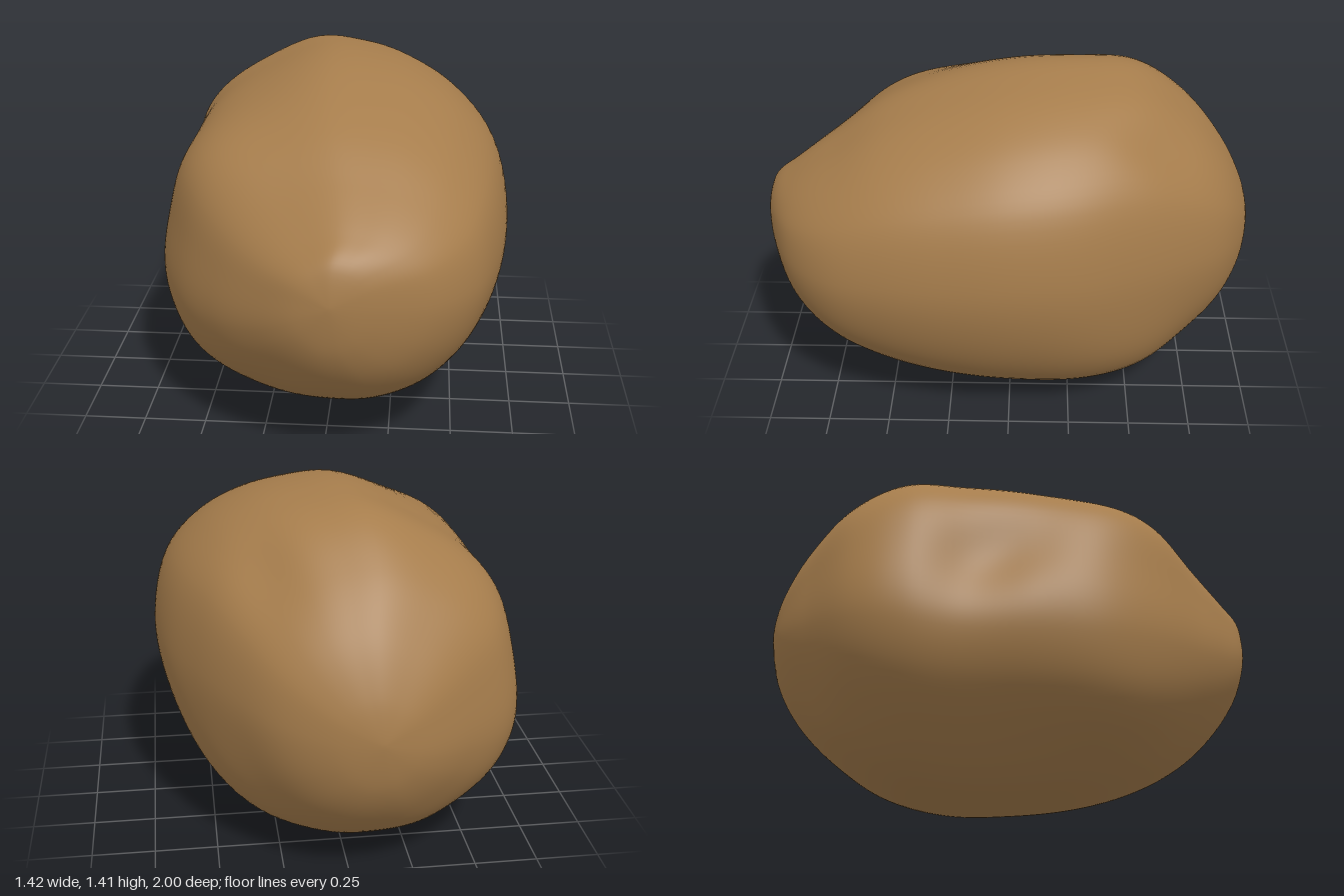
import * as THREE from 'three';
import { mergeVertices } from 'three/addons/utils/BufferGeometryUtils.js';

// Cross-section extents from nose (z = 1) to back (z = -1), evenly spaced in angle
const across = new THREE.SplineCurve([
  [0.05, 0.05], [-0.10, 0.22], [-0.25, 0.43], [-0.42, 0.575], [-0.58, 0.655], [-0.685, 0.70], [-0.71, 0.71],
  [-0.70, 0.665], [-0.70, 0.56], [-0.62, 0.43], [-0.425, 0.285], [-0.24, 0.10], [-0.08, -0.08],
].map(p => new THREE.Vector2(...p)));
const upright = new THREE.SplineCurve([
  [0.78, 0.78], [0.58, 0.925], [0.41, 1.015], [0.26, 1.125], [0.14, 1.255], [0.06, 1.345], [0.02, 1.40],
  [0.005, 1.41], [0.045, 1.375], [0.16, 1.235], [0.31, 1.05], [0.48, 0.85], [0.68, 0.68],
].map(p => new THREE.Vector2(...p)));

// Lopsided round outline, clockwise from the top
const outline = new THREE.CatmullRomCurve3([
  [-0.05, 1.41], [0.16, 1.395], [0.34, 1.345], [0.51, 1.245], [0.65, 1.08], [0.71, 0.8], [0.68, 0.57],
  [0.58, 0.34], [0.4, 0.135], [0.17, 0.02], [-0.03, 0.003], [-0.25, 0.04], [-0.47, 0.17],
  [-0.62, 0.32], [-0.695, 0.48], [-0.712, 0.62], [-0.68, 0.83], [-0.61, 1.05], [-0.51, 1.175], [-0.32, 1.3],
].map(([x, y]) => new THREE.Vector3(x / 0.712, (y - 0.707) / 0.705, 0)), true);

// Hollows and swells: centre, long axis, half-length, half-width, push
const bumps = [
  { at: [-0.66, 0.82, -0.16], axis: [0.1, 0.6, 0.7], long: 0.28, wide: 0.18, push: [0.055, -0.01, 0] },
  { at: [0.33, 1.25, -0.6], axis: [0.3, 0.55, 0.75], long: 0.22, wide: 0.12, push: [-0.01, -0.02, 0.01] },
  { at: [-0.42, 1.08, 0.42], axis: [0.6, 0.2, 0.6], long: 0.3, wide: 0.24, push: [-0.025, 0.035, 0.025] },
  { at: [-0.48, 0.3, 0.35], axis: [0.5, 0, 0.8], long: 0.35, wide: 0.22, push: [-0.02, -0.025, 0.015] },
  { at: [0.42, 0.28, -0.5], axis: [0.4, 0.6, 0.5], long: 0.35, wide: 0.25, push: [0.025, -0.02, -0.025] },
].map(h => ({
  ...h, at: new THREE.Vector3(...h.at), axis: new THREE.Vector3(...h.axis).normalize(), push: new THREE.Vector3(...h.push),
}));

function sculpt(p) {
  const moved = p.clone();
  for (const h of bumps) {
    const d = p.clone().sub(h.at);
    const along = d.dot(h.axis);
    const aside = d.lengthSq() - along * along;
    moved.addScaledVector(h.push, Math.exp(-((along / h.long) ** 2) - aside / h.wide ** 2));
  }
  return moved;
}

function lumpGeometry(rings = 96, sides = 120) {
  const loop = outline.getPoints(sides);
  const positions = [], index = [];
  for (let i = 0; i <= rings; i++) {
    const t = i / rings;
    const x = across.getPoint(t), y = upright.getPoint(t), z = Math.cos(Math.PI * t);
    for (let j = 0; j < sides; j++) {
      const p = new THREE.Vector3(
        (x.x + x.y) / 2 + loop[j].x * (x.y - x.x) / 2,
        (y.x + y.y) / 2 + loop[j].y * (y.y - y.x) / 2, z);
      positions.push(...sculpt(p).toArray());
      if (i === rings) continue;
      const a = i * sides + j, b = i * sides + (j + 1) % sides;
      if (i > 0) index.push(a, b, a + sides);
      if (i < rings - 1) index.push(b, b + sides, a + sides);
    }
  }
  const raw = new THREE.BufferGeometry();
  raw.setAttribute('position', new THREE.Float32BufferAttribute(positions, 3));
  raw.setIndex(index);
  const geometry = mergeVertices(raw, 1e-5);
  geometry.computeVertexNormals();
  return geometry;
}

export function createModel() {
  const group = new THREE.Group();
  group.name = 'potato';
  const body = new THREE.Mesh(lumpGeometry(), new THREE.MeshStandardMaterial({ color: 0xa67d4c }));
  body.name = 'potatoBody';
  group.add(body);
  return group;
}
